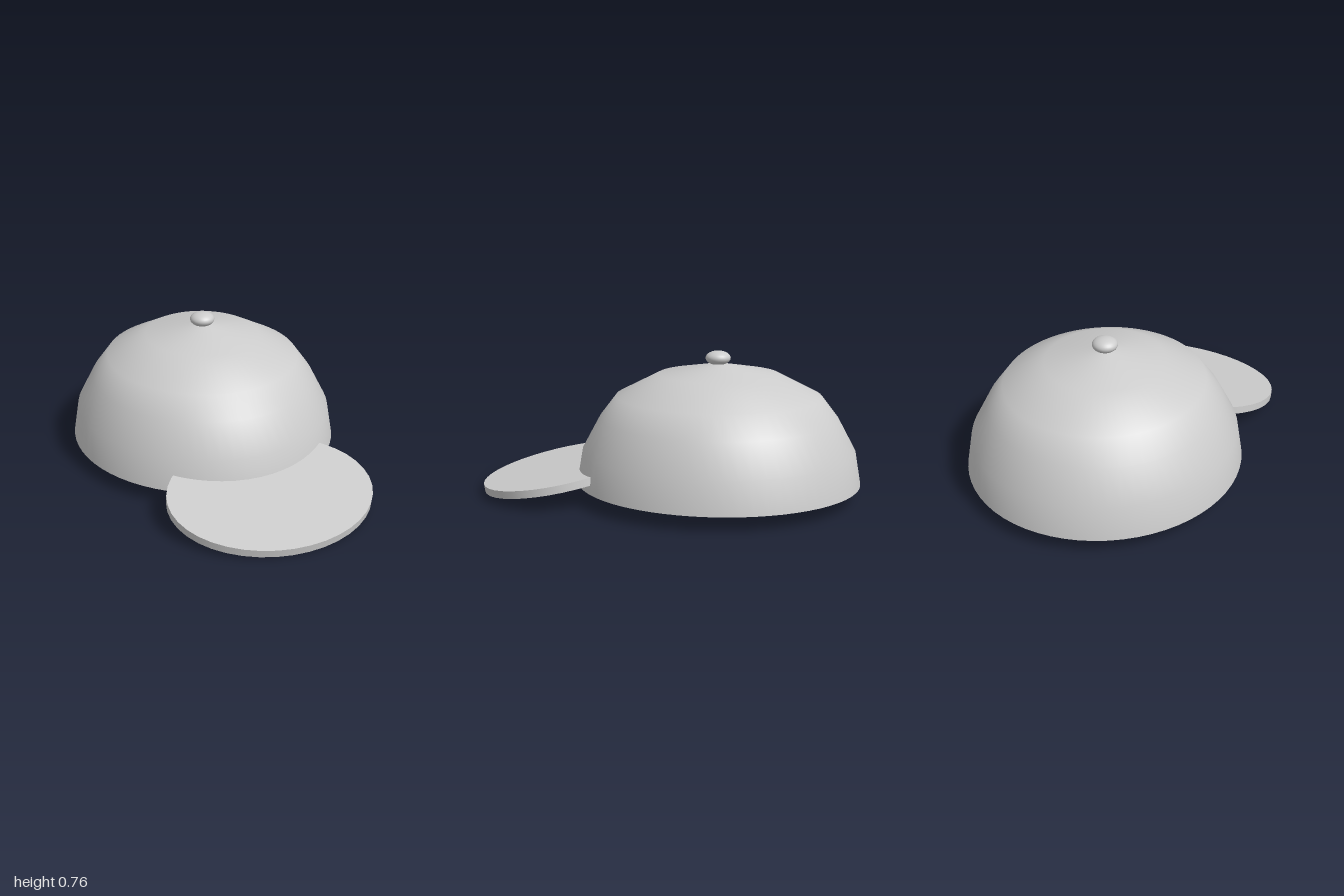
import * as THREE from 'three';

const cloth = new THREE.MeshStandardMaterial({ color: 0xcccccc });
cloth.name = 'light grey cloth';
cloth.side = THREE.DoubleSide;

function part(name, geometry, position, scale) {
  const mesh = new THREE.Mesh(geometry, cloth);
  mesh.name = name;
  mesh.position.set(...position);
  mesh.scale.set(...scale);
  return mesh;
}

export function createModel() {
  const cap = new THREE.Group();
  cap.name = 'cap';

  // Crown: open shell, slightly longer than wide
  const profile = [
    [0.70, 0.08], [0.672, 0.25], [0.588, 0.415], [0.505, 0.53], [0.298, 0.643], [0, 0.702],
  ].map(([r, y]) => new THREE.Vector2(r, y));
  cap.add(part('crown', new THREE.LatheGeometry(profile, 64), [0, 0, -0.26], [1, 1, 1.057]));

  // Button on top of the crown
  cap.add(part('button', new THREE.SphereGeometry(0.065, 32, 16), [0, 0.725, -0.255], [1, 0.57, 1]));

  // Brim: oval disc sloping down to the front, its back half tucked into the crown
  const brim = part('brim', new THREE.CylinderGeometry(0.532, 0.532, 0.04, 40), [0, 0.098, 0.575], [1, 1, 0.8]);
  brim.rotation.x = 0.178;
  cap.add(brim);

  return cap;
}
